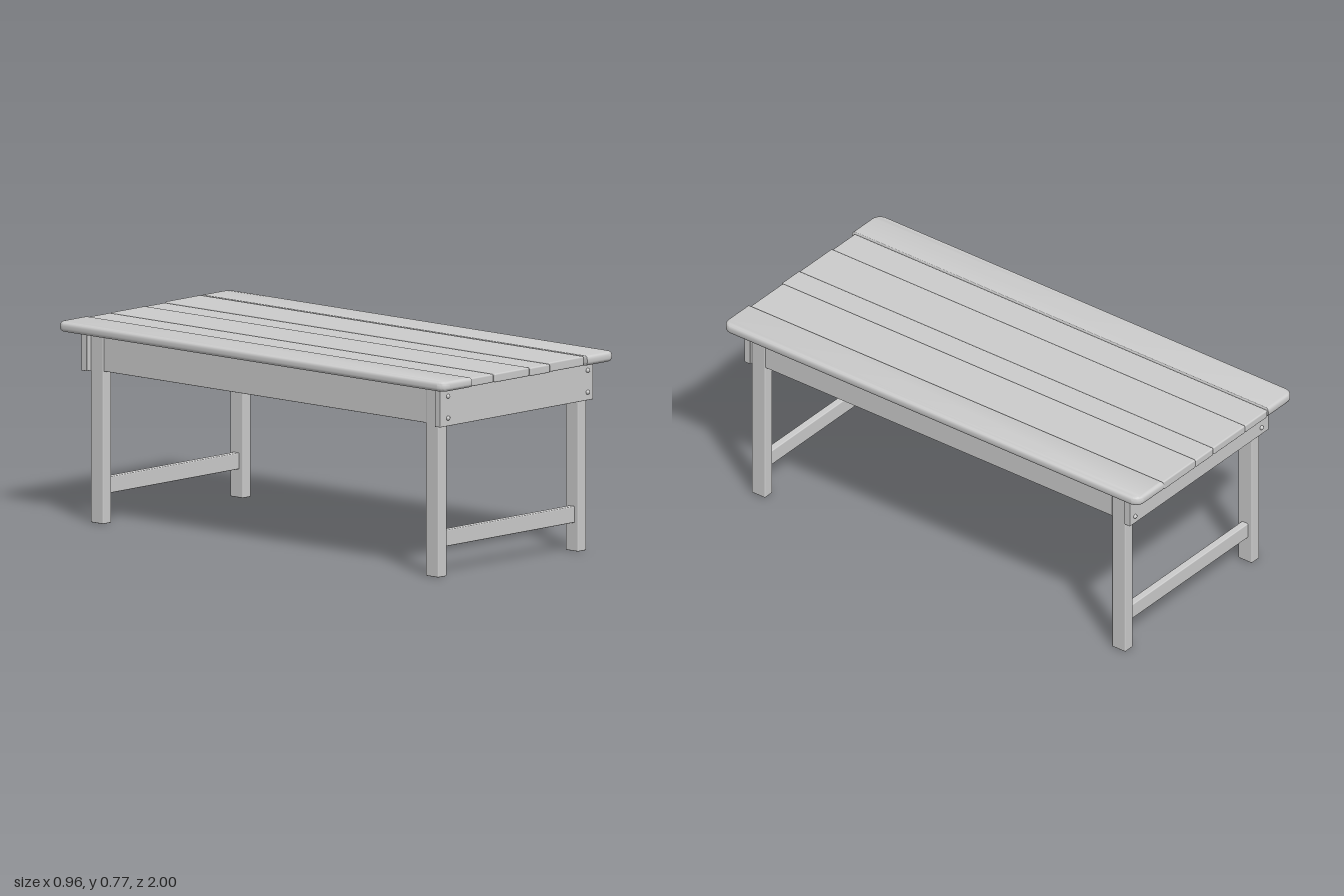
import * as THREE from 'three';
import { RoundedBoxGeometry } from 'three/addons/geometries/RoundedBoxGeometry.js';
import { toCreasedNormals } from 'three/addons/utils/BufferGeometryUtils.js';

const material = new THREE.MeshStandardMaterial({ color: 0xcccccc });

const TOP_UNDERSIDE = 0.73;
const LEG = { x: 0.389, width: 0.047, depth: 0.065 };

function add(parent, name, geometry) {
  const mesh = new THREE.Mesh(geometry, material);
  mesh.name = name;
  parent.add(mesh);
  return mesh;
}

// Softly rounded timber given by its min/max extents
function timber(parent, name, [x0, x1], [y0, y1], [z0, z1], radius = 0.004) {
  const geometry = new RoundedBoxGeometry(x1 - x0, y1 - y0, z1 - z0, 2, radius);
  const mesh = add(parent, name, geometry);
  mesh.position.set((x0 + x1) / 2, (y0 + y1) / 2, (z0 + z1) / 2);
  return mesh;
}

// Outer plank: rounded corners in plan, a soft outer edge and a tight inner edge
function edgePlankGeometry(width, height, length) {
  const bevel = 0.014, corner = 0.026;
  const w = width - bevel, h = length / 2 - bevel;
  const shape = new THREE.Shape();
  shape.moveTo(bevel, -h);
  shape.lineTo(w - corner, -h);
  shape.absarc(w - corner, -h + corner, corner, -Math.PI / 2, 0);
  shape.lineTo(w, h - corner);
  shape.absarc(w - corner, h - corner, corner, 0, Math.PI / 2);
  shape.lineTo(bevel, h);
  shape.closePath();
  const geometry = new THREE.ExtrudeGeometry(shape, {
    depth: height - 2 * bevel, bevelSize: bevel, bevelThickness: bevel,
    bevelSegments: 4, curveSegments: 6,
  });
  const position = geometry.attributes.position;
  for (let i = 0; i < position.count; i++) {
    const x = position.getX(i);
    if (x < bevel + 1e-5) position.setX(i, x * 0.3);
  }
  geometry.translate(0, 0, bevel);
  geometry.rotateX(-Math.PI / 2);
  return toCreasedNormals(geometry, 0.6);
}

function buildTop() {
  const top = new THREE.Group();
  top.name = 'tableTop';
  for (const [name, inner, side] of [['leftEdgePlank', 0.321, 1], ['rightEdgePlank', -0.321, -1]]) {
    const plank = add(top, name, edgePlankGeometry(0.161, 0.038, 2));
    plank.position.set(inner, TOP_UNDERSIDE, 0);
    if (side < 0) plank.rotation.y = Math.PI;
  }
  // Inner planks: x edges, upper face, front end
  const planks = [
    [-0.32, -0.184, 0.763, 0.986],
    [-0.183, 0.011, 0.764, 0.991],
    [0.012, 0.121, 0.763, 0.995],
    [0.122, 0.319, 0.767, 0.986],
  ];
  planks.forEach(([x0, x1, y1, z1], i) =>
    timber(top, `innerPlank${i + 1}`, [x0, x1], [TOP_UNDERSIDE, y1], [-0.998, z1], 0.006));
  return top;
}

// One end: two legs, a stretcher, an apron board outside the legs, four bolts
function buildEnd(name, legZ, dir) {
  const end = new THREE.Group();
  end.name = name;
  const faceZ = legZ + dir * LEG.depth / 2;
  const boardZ = faceZ + dir * 0.028;
  for (const side of [1, -1]) {
    const cx = side * LEG.x;
    timber(end, side > 0 ? 'leftLeg' : 'rightLeg',
      [cx - LEG.width / 2, cx + LEG.width / 2], [0, TOP_UNDERSIDE],
      [legZ - LEG.depth / 2, legZ + LEG.depth / 2]);
    for (const y of [0.614, 0.698]) {
      const dome = new THREE.SphereGeometry(0.009, 16, 6, 0, Math.PI * 2, 0, Math.PI / 2);
      const bolt = add(end, 'bolt', dome);
      bolt.rotation.x = dir * Math.PI / 2;
      bolt.position.set(cx, y, boardZ);
    }
  }
  timber(end, 'stretcher', [-0.368, 0.368], [0.11, 0.173], [legZ - 0.015, legZ + 0.015]);
  timber(end, 'endApron', [-0.433, 0.42], [0.583, TOP_UNDERSIDE],
    [Math.min(faceZ, boardZ), Math.max(faceZ, boardZ)], 0.002);
  return end;
}

export function createModel() {
  const table = new THREE.Group();
  table.name = 'table';
  table.add(buildTop());
  table.add(buildEnd('frontEnd', 0.878, 1));
  table.add(buildEnd('backEnd', -0.853, -1));

  // Long side rails between the legs
  for (const side of [1, -1]) {
    const xs = [side * 0.38, side * 0.408].sort((a, b) => a - b);
    timber(table, side > 0 ? 'leftRail' : 'rightRail', xs, [0.587, TOP_UNDERSIDE], [-0.822, 0.847], 0.002);
  }
  return table;
}
